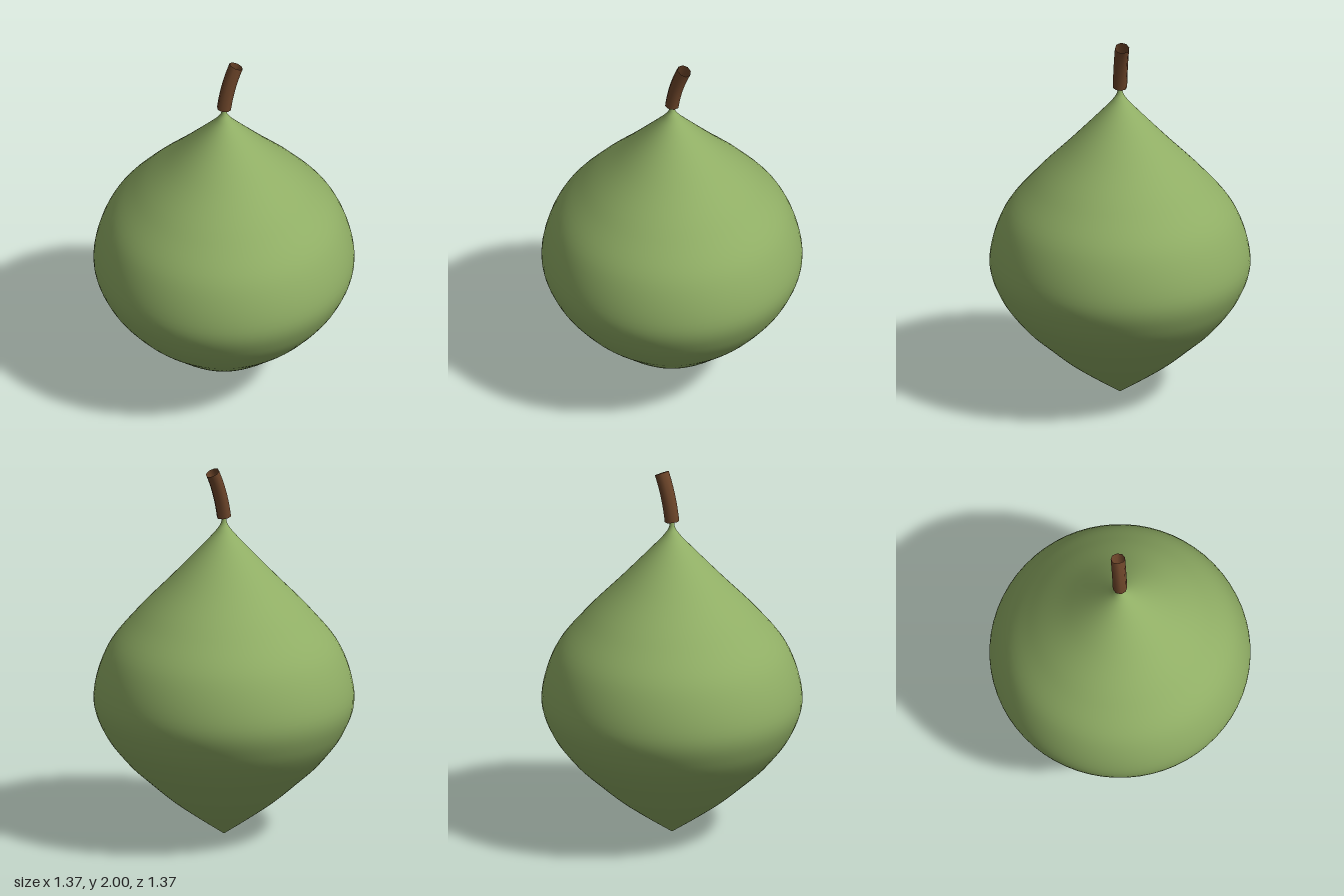
import * as THREE from 'three';

export function createModel() {
  const green = new THREE.MeshStandardMaterial({ color: 0x90ae65 });
  green.name = 'leaf green';
  const brown = new THREE.MeshStandardMaterial({ color: 0x6b4429, side: THREE.DoubleSide });
  brown.name = 'stem brown';

  const model = new THREE.Group();
  model.name = 'fruit';

  // Teardrop body: pointed base, wide belly, thin neck (radius, height)
  const outline = new THREE.SplineCurve([
    [0.001, 0], [0.145, 0.1], [0.28, 0.2], [0.4, 0.305], [0.52, 0.42], [0.635, 0.58],
    [0.684, 0.76], [0.617, 1.0], [0.465, 1.2], [0.275, 1.4], [0.09, 1.6],
    [0.035, 1.665], [0.014, 1.705], [0.013, 1.76],
  ].map(([r, y]) => new THREE.Vector2(r, y)));
  const body = new THREE.Mesh(new THREE.LatheGeometry(outline.getPoints(80), 64), green);
  body.name = 'body';
  model.add(body);

  // Hollow curved stem, leaning to the model's left
  const path = new THREE.QuadraticBezierCurve3(
    new THREE.Vector3(0, 1.73, 0),
    new THREE.Vector3(0.02, 1.87, 0),
    new THREE.Vector3(0.073, 1.982, 0),
  );
  const stem = new THREE.Mesh(new THREE.TubeGeometry(path, 12, 0.038, 8, false), brown);
  stem.name = 'stem';
  model.add(stem);

  return model;
}
